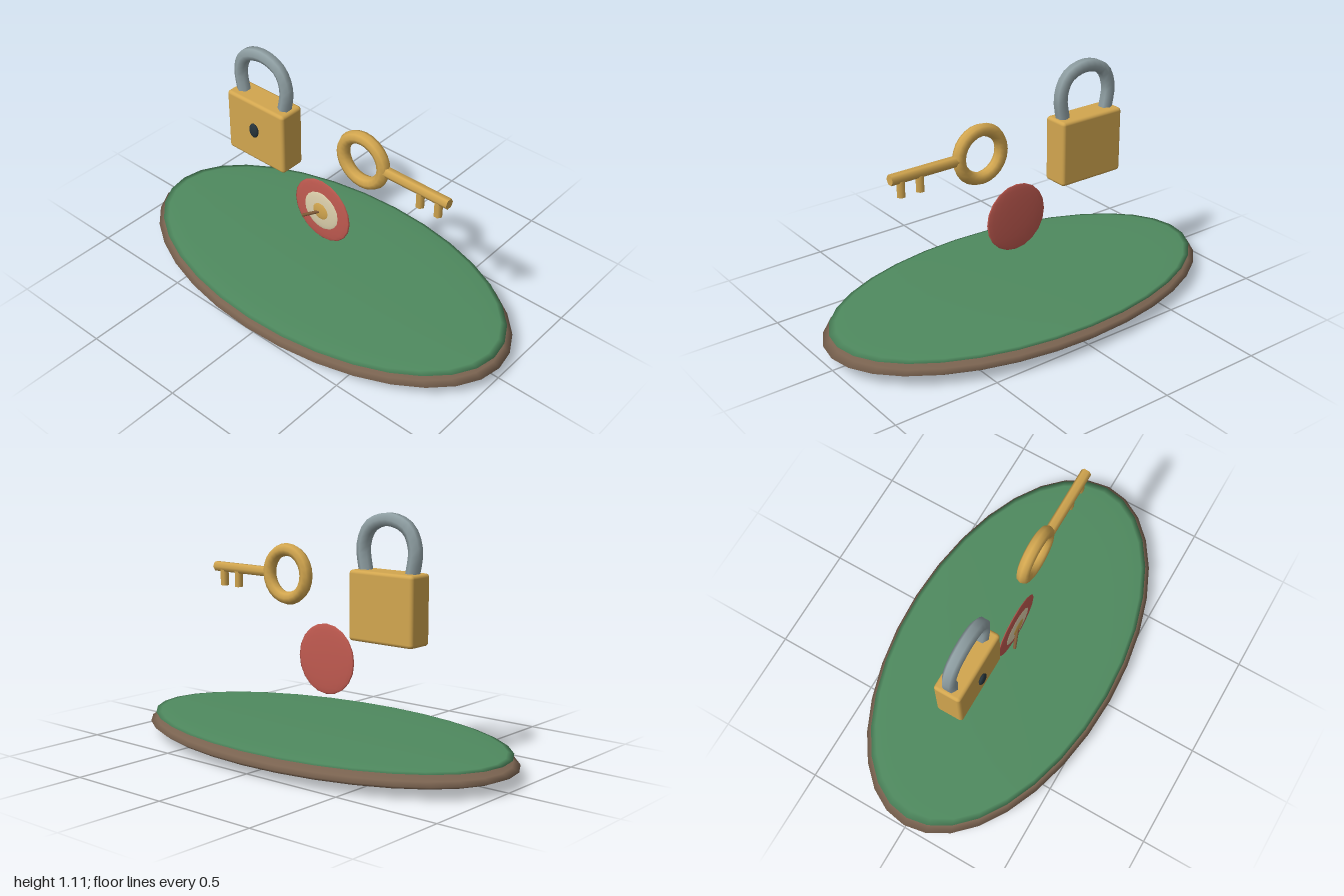
import * as THREE from 'three';
import { RoundedBoxGeometry } from 'three/addons/geometries/RoundedBoxGeometry.js';

const paint = (color) => new THREE.MeshStandardMaterial({ color });
const brown = paint(0x7a6350);
const green = paint(0x4f8a5f);
const brass = paint(0xd2a64f);
const steel = paint(0x8f9fa3);
const dark = paint(0x26333a);
const red = paint(0xc05a50);
const cream = paint(0xddd0ac);
const wood = paint(0x805a38);

function add(parent, name, geometry, material, x = 0, y = 0, z = 0) {
  const mesh = new THREE.Mesh(geometry, material);
  mesh.name = name;
  mesh.position.set(x, y, z);
  parent.add(mesh);
  return mesh;
}

function group(parent, name, x, y, z) {
  const g = new THREE.Group();
  g.name = name;
  g.position.set(x, y, z);
  parent.add(g);
  return g;
}

// Sphere squashed to the given half sizes
function ellipsoid(rx, ry, rz, around = 20, up = 10) {
  return new THREE.SphereGeometry(1, around, up).scale(rx, ry, rz);
}

export function createModel() {
  const model = new THREE.Group();
  model.name = 'lockKeyAndTargetDisplay';

  // Oval base with a grassy top
  const base = group(model, 'base', 0, 0, 0);
  add(base, 'earth', ellipsoid(1, 0.06, 0.545, 32, 12), brown, 0, 0.06, 0);
  add(base, 'grass', ellipsoid(0.97, 0.018, 0.525, 32, 12), green, 0, 0.105, 0);

  // Padlock
  const lock = group(model, 'padlock', -0.373, 0.701, 0);
  add(lock, 'lockBody', new RoundedBoxGeometry(0.345, 0.312, 0.13, 2, 0.016), brass);
  add(lock, 'keyhole', ellipsoid(0.027, 0.037, 0.012, 16, 10), dark, 0, 0.015, 0.073);
  const bow = [
    [-0.122, 0.13], [-0.139, 0.26], [-0.1, 0.345], [0, 0.379],
    [0.1, 0.345], [0.139, 0.26], [0.122, 0.13],
  ].map(([x, y]) => new THREE.Vector3(x, y, 0));
  const shackle = new THREE.CatmullRomCurve3(bow);
  add(lock, 'shackle', new THREE.TubeGeometry(shackle, 20, 0.032, 6), steel);

  // Key with ring, shaft and two teeth
  const key = group(model, 'key', 0.213, 0.796, 0);
  add(key, 'keyRing', new THREE.TorusGeometry(0.112, 0.03, 8, 24), brass);
  const shaft = new THREE.CylinderGeometry(0.025, 0.025, 0.34, 6).rotateZ(Math.PI / 2);
  add(key, 'keyShaft', shaft, brass, 0.292, 0, 0);
  for (const x of [0.314, 0.409]) {
    const tooth = new THREE.CylinderGeometry(0.02, 0.02, 0.085, 6).rotateY(Math.PI / 6);
    add(key, 'keyTooth', tooth, brass, x, -0.046, 0);
  }

  // Target of stacked lens-shaped discs, with a dart in the middle
  const target = group(model, 'target', 0, 0.423, 0);
  add(target, 'outerDisc', ellipsoid(0.163, 0.163, 0.01), red, 0, 0, 0.025);
  add(target, 'middleDisc', ellipsoid(0.103, 0.103, 0.01), cream, 0, 0, 0.03);
  add(target, 'bullseye', ellipsoid(0.05, 0.05, 0.01), brass, 0, 0, 0.034);
  const tip = new THREE.Vector3(0, 0, 0.035);
  const tail = new THREE.Vector3(-0.086, -0.052, 0.066);
  const path = new THREE.Vector3().subVectors(tail, tip);
  const dart = add(target, 'dart', new THREE.CylinderGeometry(0.008, 0.008, path.length(), 6), wood);
  dart.position.addVectors(tip, tail).multiplyScalar(0.5);
  dart.quaternion.setFromUnitVectors(new THREE.Vector3(0, 1, 0), path.normalize());

  return model;
}
